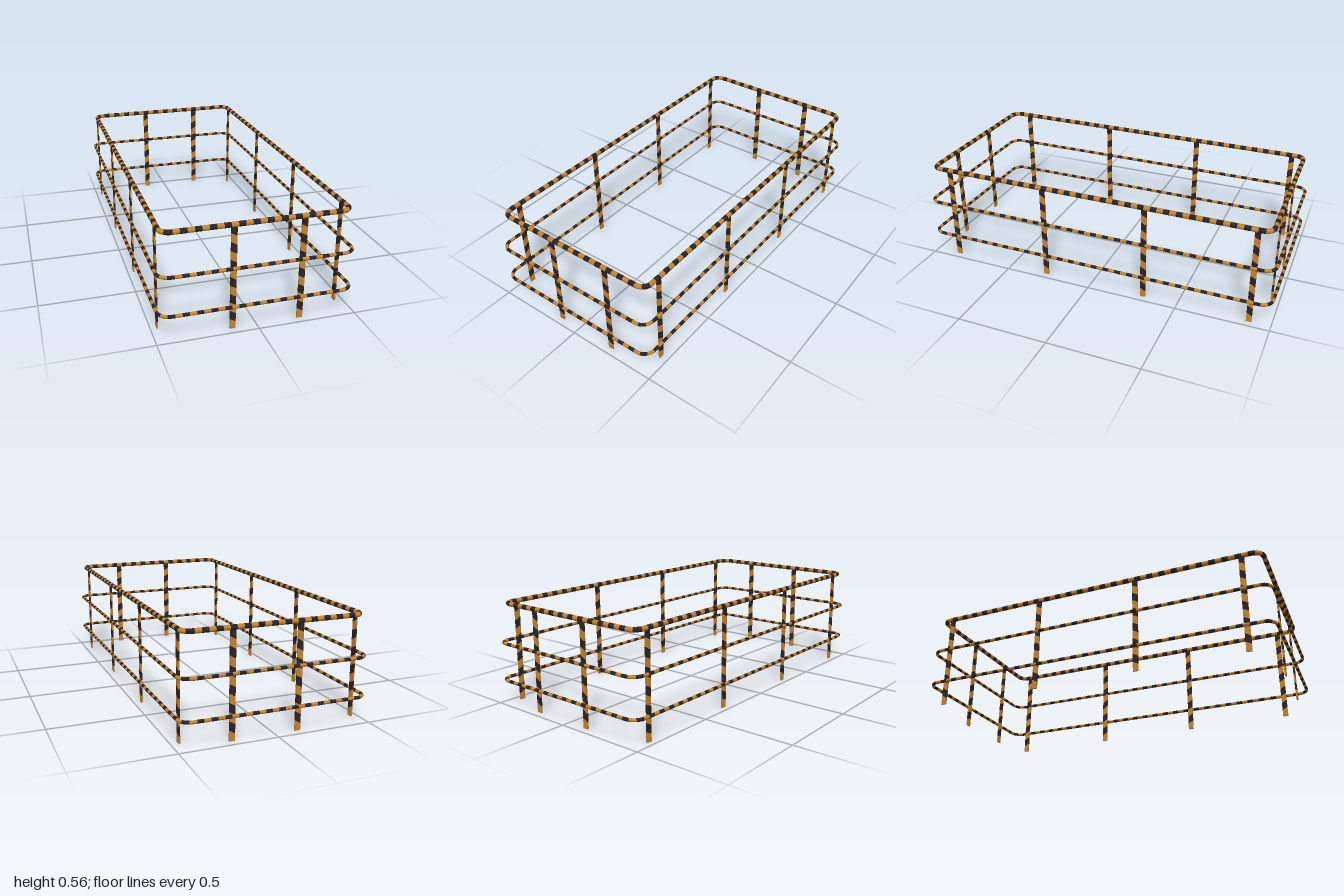
import * as THREE from 'three';
import { mergeGeometries } from 'three/addons/utils/BufferGeometryUtils.js';

const amber = new THREE.MeshStandardMaterial({ color: 0xc4842f });
amber.name = 'amber stripe';
const dark = new THREE.MeshStandardMaterial({ color: 0x2b2224 });
dark.name = 'dark stripe';
const paints = [amber, dark];

// Closed horizontal loop with rounded corners, starting mid-front
class RailLoop extends THREE.Curve {
  constructor(hx, hz, r) {
    super();
    this.arcLengthDivisions = 1200;
    const p = new THREE.Path();
    const q = Math.PI / 2;
    p.moveTo(0, hz);
    p.lineTo(hx - r, hz);
    p.absarc(hx - r, hz - r, r, q, 0, true);
    p.lineTo(hx, -hz + r);
    p.absarc(hx - r, -hz + r, r, 0, -q, true);
    p.lineTo(-hx + r, -hz);
    p.absarc(-hx + r, -hz + r, r, -q, -2 * q, true);
    p.lineTo(-hx, hz - r);
    p.absarc(-hx + r, hz - r, r, 2 * q, q, true);
    p.lineTo(0, hz);
    this.path = p;
  }
  getPoint(t, target = new THREE.Vector3()) {
    const v = this.path.getPoint(t);
    return target.set(v.x, 0, v.y);
  }
}

// Round tube whose colour alternates along its length
function stripedRail(name, hx, hz, corner, radius, y) {
  const loop = new RailLoop(hx, hz, corner);
  const stripes = 2 * Math.round(loop.getLength() / 0.068);
  const steps = 4, sides = 12;
  const geo = new THREE.TubeGeometry(loop, stripes * steps, radius, sides, true);
  const count = steps * sides * 6;
  for (let i = 0; i < stripes; i++) geo.addGroup(i * count, count, i % 2);
  const rail = new THREE.Mesh(geo, paints);
  rail.name = name;
  rail.position.y = y;
  return rail;
}

// Flat upright bar cut into slanted bands
function postGeometry(width, height, depth, bands, slant) {
  const w = width / 2;
  const cut = (k, side) => (k === 0 ? 0 : k === bands ? height : (k * height) / bands - side * slant);
  const sets = [[], []];
  for (let k = 0; k < bands; k++) {
    const band = new THREE.Shape([
      new THREE.Vector2(-w, cut(k, -1)),
      new THREE.Vector2(w, cut(k, 1)),
      new THREE.Vector2(w, cut(k + 1, 1)),
      new THREE.Vector2(-w, cut(k + 1, -1)),
    ]);
    const geo = new THREE.ExtrudeGeometry(band, { depth, bevelEnabled: false });
    sets[k % 2].push(geo.translate(0, 0, -depth / 2));
  }
  return mergeGeometries(sets.map((s) => mergeGeometries(s)), true);
}

export function createModel() {
  const model = new THREE.Group();
  model.name = 'guardRailing';

  // Handrail and the two thinner rails outside the posts
  model.add(stripedRail('topRail', 0.463, 0.957, 0.05, 0.0128, 0.543));
  model.add(stripedRail('middleRail', 0.485, 0.991, 0.06, 0.0088, 0.337));
  model.add(stripedRail('lowerRail', 0.485, 0.991, 0.06, 0.0088, 0.135));

  // Posts, flat against each side
  const geo = postGeometry(0.029, 0.54, 0.008, 12, 0.008);
  const addPost = (name, x, z, turn) => {
    const post = new THREE.Mesh(geo, paints);
    post.name = name;
    post.position.set(x, 0, z);
    post.rotation.y = turn;
    model.add(post);
  };
  for (const x of [-0.122, 0.222]) {
    addPost('frontPost', x, 0.959, 0);
    addPost('backPost', x, -0.957, Math.PI);
  }
  for (const z of [0.852, 0.274, -0.306, -0.885]) {
    addPost('leftPost', 0.459, z, Math.PI / 2);
    addPost('rightPost', -0.467, z, -Math.PI / 2);
  }
  return model;
}
